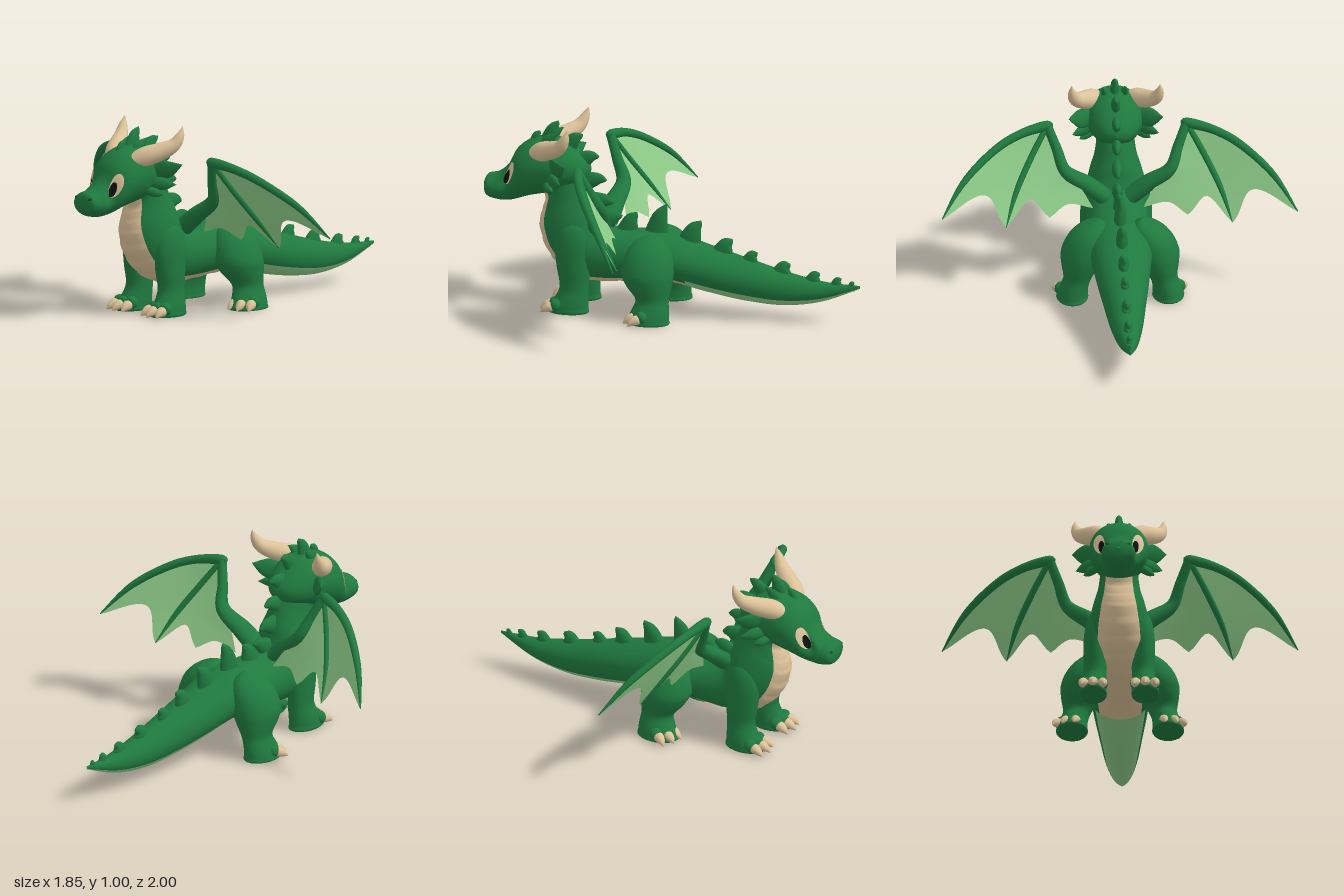
import * as THREE from 'three';

const V = (x, y, z) => new THREE.Vector3(x, y, z);
const paint = (name, color, side = THREE.FrontSide) => {
  const m = new THREE.MeshStandardMaterial({ color, side });
  m.name = name;
  return m;
};

// Smooth interpolation through rows of numbers, t from 0 to 1
function spline(rows, t) {
  const n = rows.length - 1, f = Math.min(Math.max(t, 0), 1) * n;
  const i = Math.min(Math.floor(f), n - 1), s = f - i;
  const a = rows[Math.max(i - 1, 0)], b = rows[i], c = rows[i + 1], d = rows[Math.min(i + 2, n)];
  return b.map((_, k) => b[k] + 0.5 * s * (c[k] - a[k]
    + s * (2 * a[k] - 5 * b[k] + 4 * c[k] - d[k] + s * (3 * (b[k] - c[k]) + d[k] - a[k]))));
}

// Closed skin around rings given by point(u, angle); pick() chooses the material group
function skin(point, nu, nv, pick = () => 0) {
  const pos = [], lists = [[], [], []], pts = [];
  for (let i = 0; i <= nu; i++) for (let j = 0; j < nv; j++) {
    const p = point(i / nu, j / nv * Math.PI * 2);
    p.y = Math.max(p.y, 0);
    pts.push(p);
    pos.push(p.x, p.y, p.z);
  }
  let volume = 0;
  const tri = (l, a, b, c) => {
    l.push(a, b, c);
    const o = pts[0], q = k => pts[k].clone().sub(o);
    volume += q(a).dot(q(b).cross(q(c)));
  };
  for (let i = 0; i < nu; i++) for (let j = 0; j < nv; j++) {
    const a = i * nv + j, b = i * nv + (j + 1) % nv, l = lists[pick((i + 0.5) / nu, (j + 0.5) / nv * Math.PI * 2)];
    tri(l, a, b, a + nv);
    tri(l, b, b + nv, a + nv);
  }
  const g = new THREE.BufferGeometry();
  g.setAttribute('position', new THREE.Float32BufferAttribute(pos, 3));
  g.setIndex(lists.flat());
  let start = 0;
  lists.forEach((l, k) => { if (l.length) g.addGroup(start, l.length, k); start += l.length; });
  if (volume < 0) flip(g);
  g.computeVertexNormals();
  return g;
}

function flip(g) {
  const a = g.index.array;
  for (let i = 0; i < a.length; i += 3) [a[i], a[i + 1]] = [a[i + 1], a[i]];
}

// Rows [z top, y top, z bottom, y bottom, half width]; angle 0 is underneath
const trunk = (rows, ridge = () => 1) => (u, a) => {
  const [zt, yt, zb, yb, w] = spline(rows, u), k = ridge(u, a), c = Math.cos(a) * k / 2;
  return V(Math.max(w, 0.0005) * Math.sin(a) * k, (yt + yb) / 2 + (yb - yt) * c, (zt + zb) / 2 + (zb - zt) * c);
};

// Rows [x, y, z, radius x, radius z] with level rings
const limb = rows => skin((u, a) => {
  const [x, y, z, rx, rz] = spline(rows, u);
  return V(x + Math.max(rx, 0.0005) * Math.sin(a), y, z + Math.max(rz, 0.0005) * Math.cos(a));
}, 40, 24);

// Rows [x, y, z, r1, r2] with rings square to the path
function taper(rows, ref = V(1, 0, 0), nu = 14, nv = 12) {
  const at = u => V(...spline(rows, u));
  return skin((u, a) => {
    const r = spline(rows, u), t = at(u + 0.01).sub(at(u - 0.01)).normalize();
    const s = ref.clone().cross(t).normalize(), o = t.clone().cross(s);
    return V(r[0], r[1], r[2]).addScaledVector(s, Math.max(r[3], 0.0005) * Math.cos(a))
      .addScaledVector(o, Math.max(r[4] ?? r[3], 0.0005) * Math.sin(a));
  }, nu, nv);
}

// Thin oval lying on a trunk surface
function patch(point, u0, a0, du, da, lift) {
  const g = new THREE.RingGeometry(0, 1, 28, 5), p = g.attributes.position;
  for (let i = 0; i < p.count; i++) {
    const u = u0 + p.getX(i) * du, a = a0 + p.getY(i) * da;
    const q = point(u, a), c = q.clone().add(point(u, a + Math.PI)).multiplyScalar(0.5);
    q.addScaledVector(q.clone().sub(c).normalize(), lift);
    p.setXYZ(i, q.x, q.y, q.z);
  }
  g.computeVertexNormals();
  return g;
}

// Web stretched between two curves, with a scalloped free edge
function web(A, B, cut) {
  const n = 20, pos = [], idx = [];
  for (let i = 0; i <= n; i++) for (let j = 0; j <= n; j++) {
    const s = j / n, t = i / n * (1 - cut(s));
    const p = V(...spline(A, t)).lerp(V(...spline(B, t)), s);
    pos.push(p.x, p.y, p.z);
    if (i < n && j < n) {
      const a = i * (n + 1) + j, b = a + n + 1;
      idx.push(a, b, a + 1, a + 1, b, b + 1);
    }
  }
  const g = new THREE.BufferGeometry();
  g.setAttribute('position', new THREE.Float32BufferAttribute(pos, 3));
  g.setIndex(idx);
  g.computeVertexNormals();
  return g;
}

export function createModel() {
  const root = new THREE.Group();
  root.name = 'dragon';
  const green = paint('scaleGreen', 0x1f7a3f), tan = paint('hornTan', 0xdcc299);
  const light = paint('paleGreen', 0x8fcd8a, THREE.DoubleSide);
  const eyeTan = paint('eyeCream', 0xe6cba2, THREE.DoubleSide), black = paint('pupilBlack', 0x0d120e, THREE.DoubleSide);
  const dark = paint('nostrilGreen', 0x14502a, THREE.DoubleSide);
  const add = (name, geo, mat) => {
    const m = new THREE.Mesh(geo, mat);
    m.name = name;
    root.add(m);
  };
  const both = (name, geo, mat) => {
    const g = geo.clone().applyMatrix4(new THREE.Matrix4().makeScale(-1, 1, 1));
    flip(g);
    add(name + 'Left', geo, mat);
    add(name + 'Right', g, mat);
  };

  // Tail, torso and neck in one skin, with belly plates
  const bodyRows = [
    [-1, 0.205, -1, 0.19, 0.002], [-0.8, 0.215, -0.8, 0.11, 0.05], [-0.6, 0.255, -0.6, 0.078, 0.085],
    [-0.4, 0.31, -0.4, 0.09, 0.112], [-0.2, 0.365, -0.2, 0.125, 0.14], [0, 0.42, 0, 0.17, 0.163],
    [0.15, 0.43, 0.15, 0.165, 0.172], [0.28, 0.43, 0.3, 0.15, 0.162], [0.36, 0.45, 0.45, 0.15, 0.16],
    [0.385, 0.5, 0.57, 0.2, 0.16], [0.4, 0.56, 0.66, 0.3, 0.152], [0.42, 0.61, 0.7, 0.42, 0.13],
    [0.44, 0.66, 0.69, 0.5, 0.11], [0.47, 0.72, 0.67, 0.57, 0.1], [0.5, 0.78, 0.68, 0.64, 0.09],
    [0.59, 0.74, 0.6, 0.73, 0.001]];
  const rings = (bodyRows.length - 1) * 8, tanFrom = 0.3;
  const plates = (u, a) => u > tanFrom
    ? 1 + 0.03 * ((Math.round(u * rings) % 6) / 5 - 0.3) * Math.max(0, Math.min(1, (Math.cos(a) - 0.68) * 6)) : 1;
  const pick = (u, a) => u > tanFrom ? (Math.cos(a) > 0.68 ? 1 : 0) : (Math.cos(a) > 0.5 ? 2 : 0);
  add('body', skin(trunk(bodyRows, plates), rings, 56, pick), [green, tan, light]);

  // Head, with hollow eye sockets under the brow
  const headRows = [
    [0.997, 0.621, 0.997, 0.619, 0], [0.98, 0.673, 0.98, 0.565, 0.075], [0.92, 0.692, 0.92, 0.545, 0.09],
    [0.865, 0.74, 0.865, 0.545, 0.1], [0.82, 0.825, 0.82, 0.556, 0.13], [0.75, 0.878, 0.75, 0.58, 0.15],
    [0.66, 0.9, 0.66, 0.6, 0.152], [0.58, 0.885, 0.58, 0.62, 0.142], [0.5, 0.83, 0.5, 0.65, 0.108],
    [0.45, 0.78, 0.45, 0.69, 0.06], [0.43, 0.74, 0.43, 0.73, 0]];
  const skull = trunk(headRows);
  const head = (u, a) => {
    const p = skull(u, a), b = Math.min(a, Math.PI * 2 - a);
    p.x *= 1 - 0.27 * Math.exp(-(((u - 0.305) / 0.07) ** 2) - ((b - 1.9) / 0.42) ** 2);
    return p;
  };
  add('head', skin(head, 80, 48), green);
  both('eye', patch(head, 0.345, 1.96, 0.068, 0.4, 0.006), eyeTan);
  both('pupil', patch(head, 0.317, 1.93, 0.042, 0.28, 0.009), black);
  both('nostril', patch(head, 0.085, 2.2, 0.016, 0.13, 0.004), dark);
  both('horn', taper([[0.07, 0.81, 0.72, 0.04], [0.115, 0.845, 0.665, 0.052], [0.165, 0.872, 0.6, 0.047],
    [0.207, 0.905, 0.545, 0.036], [0.226, 0.955, 0.515, 0.022], [0.228, 1.003, 0.5, 0]], undefined, 24, 16), tan);

  // Cheek frills: [base y, z, tip x, y, z, size]
  for (const [y, z, tx, ty, tz, r] of [[0.765, 0.62, 0.245, 0.805, 0.515, 0.05], [0.715, 0.63, 0.225, 0.7, 0.54, 0.033],
    [0.675, 0.65, 0.185, 0.65, 0.59, 0.024]]) {
    both('cheekFrill', taper([[0.1, y, z, r * 0.8, 0.02], [(0.12 + tx) / 2, (y + ty) / 2 - 0.005, (z + tz) / 2, r, 0.02],
      [tx, ty, tz, 0, 0]]), green);
  }
  both('crownSpike', taper([[0.045, 0.85, 0.67, 0.035, 0.022], [0.052, 0.895, 0.64, 0.03, 0.018], [0.06, 0.935, 0.59, 0, 0]]), green);

  // Back spikes: [z, y, height, lean of the surface, half length]
  const spikes = [
    [0.73, 0.87, 0.055, 0, 0.035], [0.655, 0.885, 0.105, 0.1, 0.05], [0.55, 0.865, 0.085, 0.5, 0.05], [0.475, 0.79, 0.08, 0.9, 0.05],
    [0.44, 0.68, 0.085, 1.1, 0.05], [0.405, 0.57, 0.085, 1.15, 0.055], [0.355, 0.46, 0.09, 0.7, 0.055], [0.24, 0.425, 0.1, 0.05, 0.06],
    [0.085, 0.425, 0.15, 0, 0.065], [-0.09, 0.39, 0.115, 0.1, 0.065], [-0.265, 0.342, 0.075, 0.1, 0.06],
    [-0.41, 0.305, 0.048, 0.1, 0.048], [-0.58, 0.256, 0.045, 0, 0.058], [-0.745, 0.222, 0.04, 0, 0.048],
    [-0.87, 0.206, 0.035, 0, 0.035], [-0.95, 0.2, 0.026, 0, 0.022]];
  for (const [z, y, h, lean, len] of spikes) {
    const c = Math.cos(lean), s = Math.sin(lean);
    const row = (up, back, r, w) => [0, y + up * c - back * s, z - up * s - back * c, r, w];
    add('backSpike', taper([row(-0.02, 0, len, len * 0.5), row(h * 0.5, len * 0.3, len * 0.66, len * 0.42),
      row(h * 0.85, len * 0.68, len * 0.28, len * 0.2), row(h, len * 0.82, 0, 0)]), green);
  }

  // Legs
  both('frontLeg', limb([[0.095, 0.52, 0.5, 0, 0], [0.105, 0.45, 0.5, 0.053, 0.07], [0.117, 0.36, 0.5, 0.064, 0.095],
    [0.124, 0.24, 0.495, 0.062, 0.088], [0.125, 0.14, 0.49, 0.06, 0.077], [0.132, 0.07, 0.505, 0.068, 0.09],
    [0.135, 0.03, 0.52, 0.07, 0.106], [0.135, 0, 0.52, 0.066, 0.102], [0.135, 0, 0.52, 0, 0]]), green);
  both('hindLeg', limb([[0.11, 0.44, 0.085, 0, 0], [0.135, 0.405, 0.085, 0.065, 0.08], [0.162, 0.345, 0.085, 0.105, 0.122],
    [0.186, 0.26, 0.086, 0.12, 0.138], [0.205, 0.19, 0.073, 0.099, 0.12], [0.222, 0.125, 0.052, 0.073, 0.088],
    [0.24, 0.07, 0.058, 0.074, 0.098], [0.248, 0.025, 0.068, 0.08, 0.11], [0.248, 0, 0.068, 0.076, 0.106],
    [0.248, 0, 0.068, 0, 0]]), green);

  // Toes and claws, fanned around each foot
  for (const [name, fx, fz, yaw] of [['front', 0.135, 0.53, 0], ['hind', 0.248, 0.06, 0.36]]) {
    for (const k of [-1, 0, 1]) {
      const a = yaw + k * 0.2, side = k * 0.034, reach = 0.083 - k * k * 0.012;
      const row = (d, y, r) => [fx + side * Math.cos(yaw) + Math.sin(a) * (reach + d), y,
        fz - side * Math.sin(yaw) + Math.cos(a) * (reach + d), r];
      both(name + 'Toe', taper([row(-0.07, 0.04, 0.005), row(-0.04, 0.045, 0.032), row(-0.01, 0.04, 0.032), row(0.01, 0.035, 0.001)]), green);
      both(name + 'Claw', taper([row(-0.015, 0.034, 0.022), row(0.008, 0.034, 0.026), row(0.036, 0.021, 0.017), row(0.058, 0.004, 0)]), tan);
    }
  }

  // Wings: arm, two fingers and two scalloped webs
  const zAxis = V(0, 0, 1);
  const arm = [[0.07, 0.43, 0.37], [0.16, 0.51, 0.35], [0.27, 0.6, 0.325], [0.315, 0.71, 0.37], [0.36, 0.82, 0.415]];
  const lead = [[0.36, 0.82, 0.415], [0.5, 0.795, 0.375], [0.64, 0.735, 0.31], [0.8, 0.615, 0.2], [0.92, 0.455, 0.09]];
  const finger = [[0.36, 0.82, 0.415], [0.45, 0.67, 0.34], [0.53, 0.52, 0.25], [0.585, 0.37, 0.15]];
  const inner = [[0.36, 0.82, 0.415], [0.315, 0.7, 0.365], [0.26, 0.59, 0.32], [0.19, 0.51, 0.3], [0.13, 0.41, 0.27]];
  const bone = (rows, radii, depths = radii) => taper(rows.map((p, i) => [...p, radii[i], depths[i]]), zAxis, 32, 12);
  both('wingArm', bone(arm, [0.046, 0.042, 0.033, 0.027, 0.024], [0.062, 0.058, 0.04, 0.028, 0.024]), green);
  both('wingLeadingFinger', bone([[0.345, 0.81, 0.41], ...lead], [0.003, 0.026, 0.023, 0.021, 0.017, 0.003]), green);
  both('wingSecondFinger', bone(finger, [0.015, 0.017, 0.015, 0.002]), green);
  both('outerWeb', web(lead, finger, s => 0.22 * Math.sin(Math.PI * s)), light);
  both('innerWeb', web(finger, inner, s => (s < 0.5 ? 0.24 : 0.12) * Math.abs(Math.sin(2 * Math.PI * s))), light);
  return root;
}
